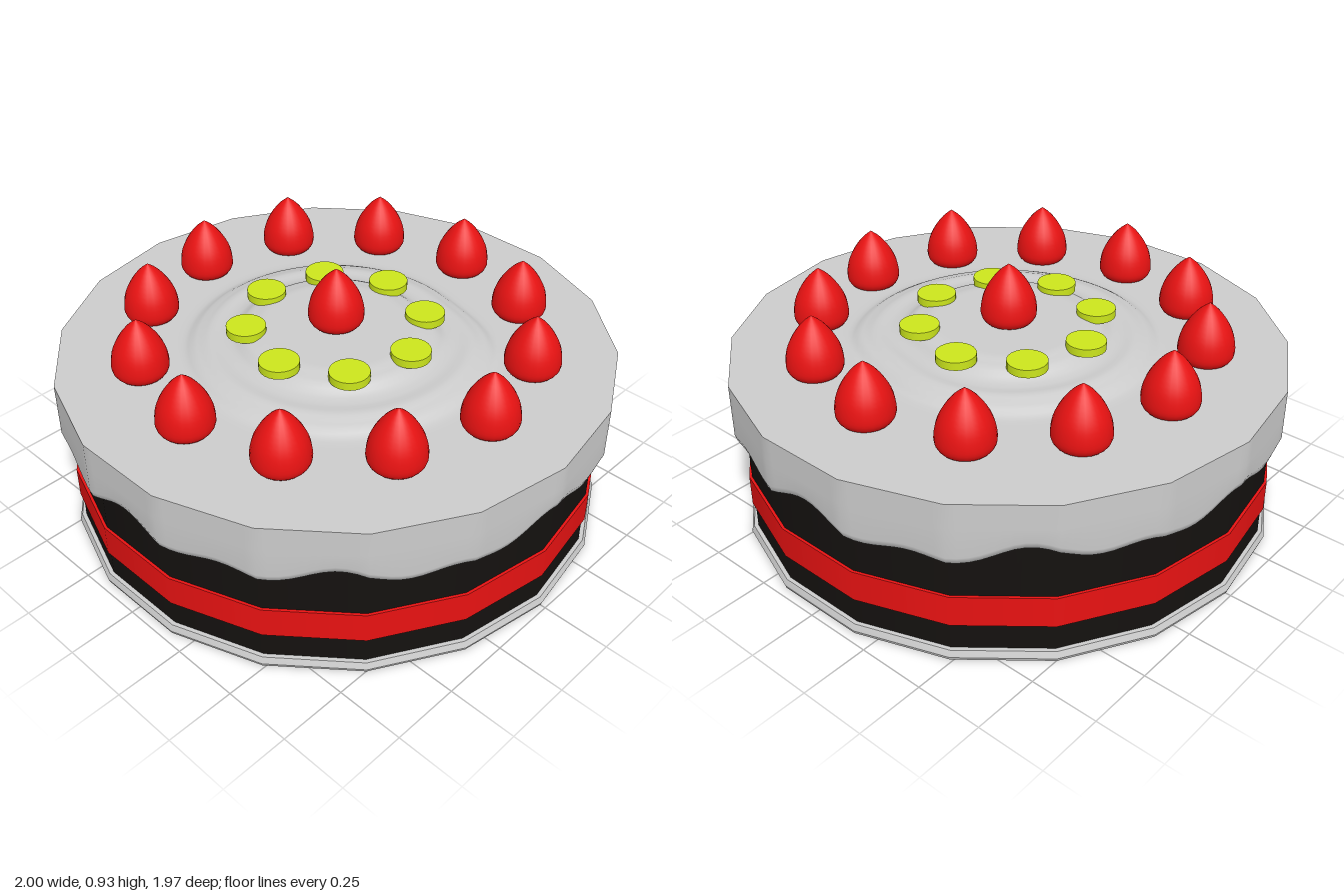
import * as THREE from 'three';
import { toCreasedNormals } from 'three/addons/utils/BufferGeometryUtils.js';

const SIDES = 18;
const STEP = (Math.PI * 2) / SIDES;
const START = Math.PI / 2; // puts a corner on the x axis

const grey = new THREE.MeshStandardMaterial({ color: 0xcccccc });
const greyOpen = new THREE.MeshStandardMaterial({ color: 0xcccccc, side: THREE.DoubleSide });
const chocolate = new THREE.MeshStandardMaterial({ color: 0x14110f });
const red = new THREE.MeshStandardMaterial({ color: 0xe81212 });
const lime = new THREE.MeshStandardMaterial({ color: 0xcbe51c });

// Distance from the centre to the edge of a unit 18-sided polygon
function polygon(a) {
  const t = (((a - START) % STEP) + STEP) % STEP;
  return Math.cos(STEP / 2) / Math.cos(t - STEP / 2);
}

// Closed surface from rings; each ring maps an angle to [radius, height]
function ringSurface(rings, segs) {
  const pos = [], idx = [];
  rings.forEach((ring, j) => {
    for (let i = 0; i < segs; i++) {
      const a = (i / segs) * Math.PI * 2;
      const [r, y] = ring(a);
      pos.push(r * Math.sin(a), y, r * Math.cos(a));
      if (j === 0) continue;
      const n = (i + 1) % segs, lo = (j - 1) * segs, hi = j * segs;
      idx.push(lo + i, lo + n, hi + n, lo + i, hi + n, hi + i);
    }
  });
  const g = new THREE.BufferGeometry();
  g.setAttribute('position', new THREE.Float32BufferAttribute(pos, 3));
  g.setIndex(idx);
  g.computeVertexNormals();
  return g;
}

// Wavy lower edge of the icing
const hem = (a) => 0.42 + 0.02 * Math.cos(8 * a) + 0.018 * Math.cos(16 * a) + 0.005 * Math.sin(5 * a);

// Swirled mound: stepped profile whose radius shrinks around the turn
const mound = [[0, 0.708], [0.28, 0.708], [0.34, 0.698], [0.4, 0.668], [0.43, 0.664],
  [0.48, 0.668], [0.53, 0.655], [0.58, 0.632], [0.61, 0.63], [2, 0.63]];
function topHeight(r, a) {
  const turn = ((((START + 0.6 - a) / (Math.PI * 2)) % 1) + 1) % 1;
  const shrink = 1 - 0.13 * turn * (1 - THREE.MathUtils.smoothstep(turn, 0.88, 1));
  const q = r / shrink;
  const k = mound.findIndex((p, i) => i > 0 && q <= p[0]);
  const [r0, y0] = mound[k - 1], [r1, y1] = mound[k];
  return THREE.MathUtils.lerp(y0, y1, THREE.MathUtils.smoothstep(q, r0, r1));
}

export function createModel() {
  const cake = new THREE.Group();
  cake.name = 'cake';
  const add = (name, geometry, material, x = 0, y = 0, z = 0, parent = cake) => {
    const m = new THREE.Mesh(geometry, material);
    m.name = name;
    m.position.set(x, y, z);
    parent.add(m);
    return m;
  };
  const prism = (r, h) => new THREE.CylinderGeometry(r, r, h, SIDES, 1, false, START);

  // Sponge and filling band
  add('sponge', prism(0.96, 0.6), chocolate, 0, 0.3, 0);
  add('fillingBand', prism(0.97, 0.115), red, 0, 0.1925, 0);

  // Cream rim around the foot
  const rim = [[0.958, 0], [0.98, 0], [0.984, 0.012], [0.975, 0.035], [0.95, 0.035]]
    .map(([x, y]) => new THREE.Vector2(x, y));
  add('baseRim', toCreasedNormals(new THREE.LatheGeometry(rim, SIDES, START), 0.6), grey);

  // Icing wall with a rounded, dripping hem
  const wall = [
    (a) => [0.945 * polygon(a), hem(a) + 0.03],
    (a) => [0.975 * polygon(a), hem(a)],
    (a) => [0.992 * polygon(a), hem(a) + 0.006],
    (a) => [polygon(a), hem(a) + 0.03],
    (a) => [polygon(a), 0.54],
    (a) => [polygon(a), 0.63],
  ];
  add('icingWall', ringSurface(wall, SIDES * 10), greyOpen);

  // Icing top with the swirl
  const top = [(a) => [polygon(a), 0.63]];
  for (let i = 0; i <= 40; i++) {
    const r = 0.62 * (1 - i / 40);
    top.push((a) => [r, topHeight(r, a)]);
  }
  add('icingTop', ringSurface(top, SIDES * 6), greyOpen);

  // Strawberries: a ring of twelve and one in the middle
  const profile = new THREE.SplineCurve([[0, 0], [0.07, 0], [0.095, 0.02], [0.1, 0.05],
    [0.091, 0.1], [0.068, 0.148], [0.035, 0.192], [0, 0.222]]
    .map(([x, y]) => new THREE.Vector2(x, y))).getPoints(20)
    .map((p) => new THREE.Vector2(Math.max(p.x, 0), Math.max(p.y, 0)));
  const berry = new THREE.LatheGeometry(profile, 24);
  const berries = new THREE.Group();
  berries.name = 'strawberries';
  cake.add(berries);
  for (let i = 0; i < 12; i++) {
    const a = (i * Math.PI) / 6;
    add('strawberry', berry, red, 0.7 * Math.sin(a), 0.628, 0.7 * Math.cos(a), berries);
  }
  add('centreStrawberry', berry, red, 0, 0.71, 0, berries);

  // Lime discs
  const disc = new THREE.CylinderGeometry(0.071, 0.071, 0.03, 24);
  const discs = new THREE.Group();
  discs.name = 'limeDiscs';
  cake.add(discs);
  for (let i = 0; i < 8; i++) {
    const a = (i * Math.PI) / 4 + 0.125;
    add('limeDisc', disc, lime, 0.32 * Math.sin(a), 0.714, 0.32 * Math.cos(a), discs);
  }
  return cake;
}
